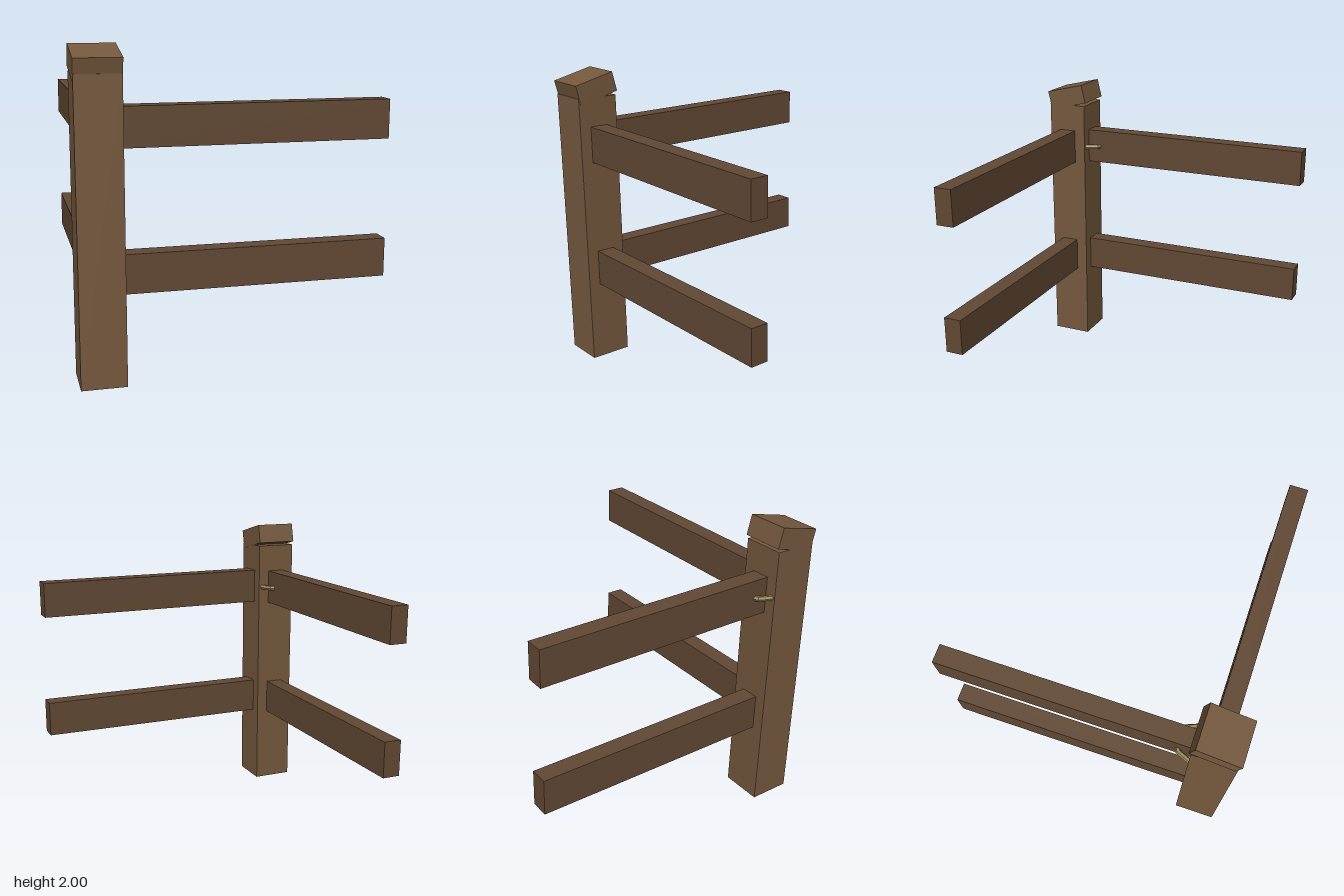
import * as THREE from 'three';

const POST_X = -0.82, POST_Z = 0.81;

export function createModel() {
  const group = new THREE.Group();
  const material = (color) => new THREE.MeshStandardMaterial({ color, flatShading: true });
  const postWood = material(0x76593e);
  const railWood = material(0x624934);
  const rope = material(0x9c8a5e);

  const add = (name, geometry, mat, x, y, z) => {
    const mesh = new THREE.Mesh(geometry, mat);
    mesh.name = name;
    mesh.position.set(x, y, z);
    group.add(mesh);
    return mesh;
  };

  // Corner post with its tilted cap block
  add('post', new THREE.BoxGeometry(0.277, 1.845, 0.277), postWood, POST_X, 0.9225, POST_Z);
  const cap = add('postCap', new THREE.BoxGeometry(0.281, 0.134, 0.283), postWood, POST_X, 1.902, 0.812);
  cap.rotation.x = 0.236;

  // Two pairs of rails, one running left and one running back
  const length = 1.637, height = 0.242, thickness = 0.12;
  [['lower', 0.665], ['upper', 1.533]].forEach(([level, y]) => {
    add(level + 'SideRail', new THREE.BoxGeometry(length, height, thickness), railWood, 0.1365, y, POST_Z);
    add(level + 'BackRail', new THREE.BoxGeometry(thickness, height, length), railWood, POST_X, y, -0.1435);
  });

  // Rope loop tying the upper back rail to the post
  const loop = new THREE.TorusGeometry(0.11, 0.018, 6, 4, Math.PI);
  add('ropeLoop', loop.rotateX(-Math.PI / 2), rope, POST_X, 1.533, 0.672);

  return group;
}
